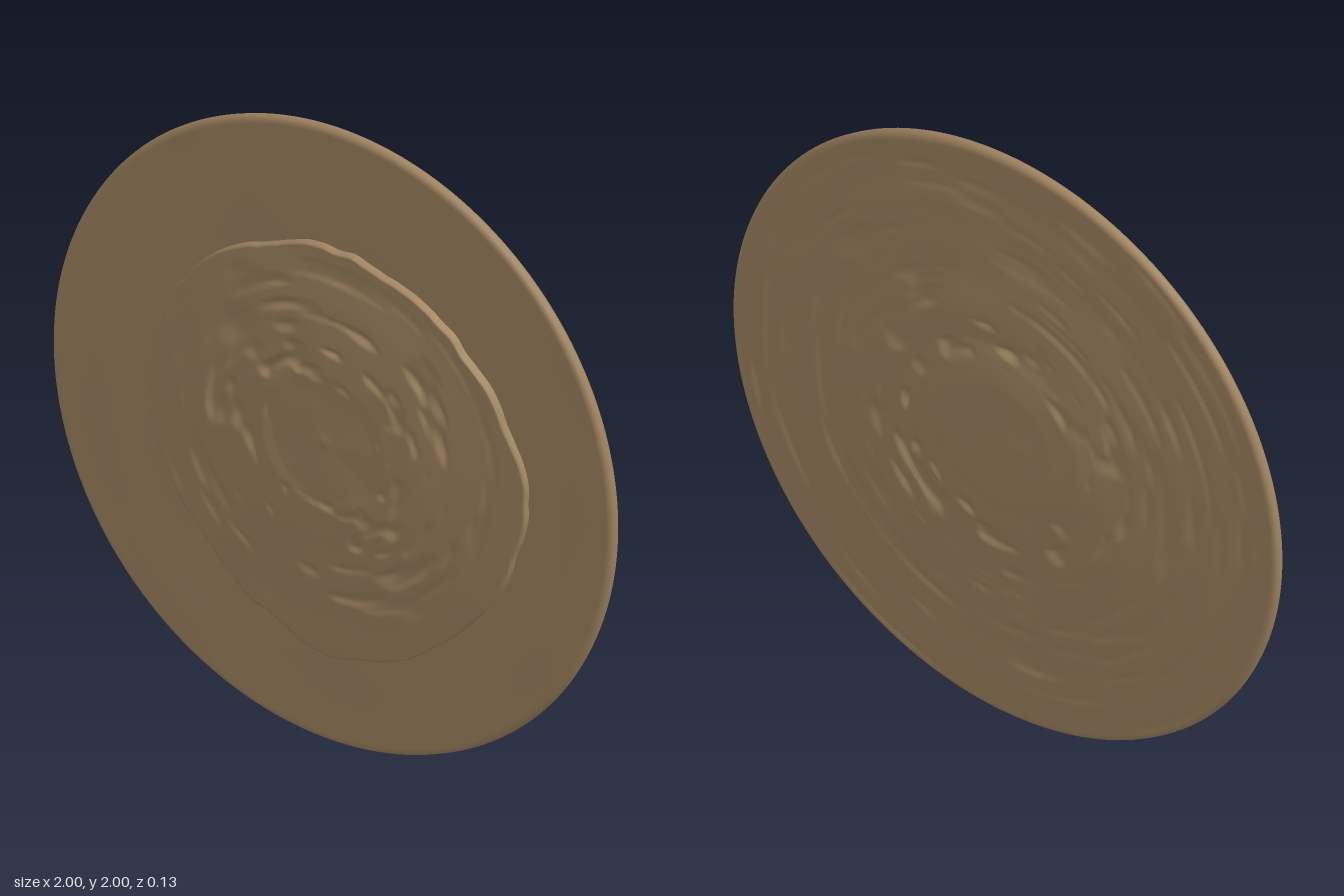
import * as THREE from 'three';

const SEG = 192;
const TAU = Math.PI * 2;

// Seeded lattice value in 0..1
function hash(a, b, seed) {
  const s = Math.sin(a * 127.1 + b * 311.7 + seed * 74.7) * 43758.5453;
  return s - Math.floor(s);
}

// Smooth noise in polar space, stretched along the angle so it reads as wood grain
function grain(r, t, rings, sectors, seed) {
  const u = r * rings, v = (t / TAU) * sectors;
  const i = Math.floor(u), j = Math.floor(v);
  const ease = (x) => x * x * (3 - 2 * x);
  const at = (a, b) => hash(a, b % sectors, seed);
  const f = ease(u - i), g = ease(v - j);
  return THREE.MathUtils.lerp(
    THREE.MathUtils.lerp(at(i, j), at(i + 1, j), f),
    THREE.MathUtils.lerp(at(i, j + 1), at(i + 1, j + 1), f), g);
}

// Linear lookup in a [radius, value] profile
function lookup(points, r) {
  for (let k = 1; k < points.length; k++) {
    const [r0, z0] = points[k - 1], [r1, z1] = points[k];
    if (r <= r1) return z0 + ((z1 - z0) * (r - r0)) / (r1 - r0);
  }
  return points[points.length - 1][1];
}

// Chipped grooves between two radii
function chips(r, t, inner, outer, seed) {
  const S = THREE.MathUtils.smoothstep;
  const mask = S(r, inner, inner + 0.04) * (1 - S(r, outer - 0.25, outer));
  return mask * Math.max(0, grain(r, t, 30, 26, seed) - 0.6);
}

// Skin a stack of rings running from the front centre outwards and round to the back
function skin(rowCount, point) {
  const pos = [], index = [];
  for (let i = 0; i < rowCount; i++)
    for (let j = 0; j < SEG; j++) {
      const t = (j / SEG) * TAU;
      const [r, z] = point(i, t);
      pos.push(r * Math.cos(t), r * Math.sin(t), z);
    }
  for (let i = 0; i < rowCount - 1; i++)
    for (let j = 0; j < SEG; j++) {
      const k = (j + 1) % SEG;
      const a = i * SEG + j, b = a + SEG, c = (i + 1) * SEG + k, d = i * SEG + k;
      index.push(a, b, c, a, c, d);
    }
  const geo = new THREE.BufferGeometry();
  geo.setAttribute('position', new THREE.Float32BufferAttribute(pos, 3));
  geo.setIndex(index);
  geo.computeVertexNormals();
  return geo;
}

// Flat front, rounded rim and shallow domed back
function discGeometry() {
  const rim = [[0.985, 0.015], [0.996, 0.009], [1, -0.003], [0.996, -0.014], [0.985, -0.02]];
  const back = [[0, -0.064], [0.2, -0.061], [0.3, -0.055], [0.34, -0.049], [0.5, -0.039],
    [0.7, -0.026], [0.85, -0.021], [1, -0.02]];
  const front = 16, rear = 110;
  return skin(front + rim.length + rear, (i, t) => {
    if (i < front) {
      const r = (0.975 * i) / (front - 1);
      return [r, 0.015 + 0.002 * (grain(r, t, 10, 14, 3) - 0.5) * Math.min(1, r * 4)];
    }
    if (i < front + rim.length) return rim[i - front];
    const r = 0.975 * (1 - (i - front - rim.length) / (rear - 1));
    const wave = (grain(r, t, 9, 10, 5) - 0.5) * 0.005 * Math.min(1, r * 5);
    const cut = 0.04 * chips(r, t, 0.27, 0.62, 7) + 0.014 * chips(r, t, 0.45, 1.1, 11);
    return [r, Math.min(lookup(back, r) + wave + cut, -0.014)];
  });
}

// Raised uneven front layer with a chipped edge
function plateGeometry() {
  // Outline radius, anticlockwise from +x
  const outline = [0.7, 0.665, 0.637, 0.618, 0.62, 0.61, 0.625, 0.636,
    0.637, 0.63, 0.622, 0.66, 0.703, 0.692, 0.67, 0.68];
  const n = outline.length;
  const edge = (t) => {
    const v = (t / TAU) * n, i = Math.floor(v), f = v - i;
    const s = f * f * (3 - 2 * f);
    return outline[i % n] * (1 - s) + outline[(i + 1) % n] * s + 0.012 * (grain(1, t, 1, 70, 2) - 0.5);
  };
  const dome = [[0, 0.064], [0.03, 0.061], [0.18, 0.06], [0.22, 0.063], [0.3, 0.06],
    [0.45, 0.052], [0.6, 0.042], [0.72, 0.037]];
  const rows = 90;
  return skin(rows + 2, (i, t) => {
    const e = edge(t);
    if (i >= rows) return [e + 0.002, i === rows ? 0.03 : 0.008];
    const r = (e * i) / (rows - 1);
    const wave = (grain(r, t, 9, 12, 13) - 0.5) * 0.004 * Math.min(1, r * 5);
    return [r, lookup(dome, r) + wave - 0.035 * chips(r, t, 0.18, 0.66, 17)];
  });
}

export function createModel() {
  const wood = new THREE.MeshStandardMaterial({ color: 0xa08360 });
  wood.name = 'wood';
  const group = new THREE.Group();
  group.name = 'roundShield';
  for (const [name, geo] of [['disc', discGeometry()], ['frontPlate', plateGeometry()]]) {
    const mesh = new THREE.Mesh(geo, wood);
    mesh.name = name;
    mesh.position.y = 1;
    group.add(mesh);
  }
  return group;
}
